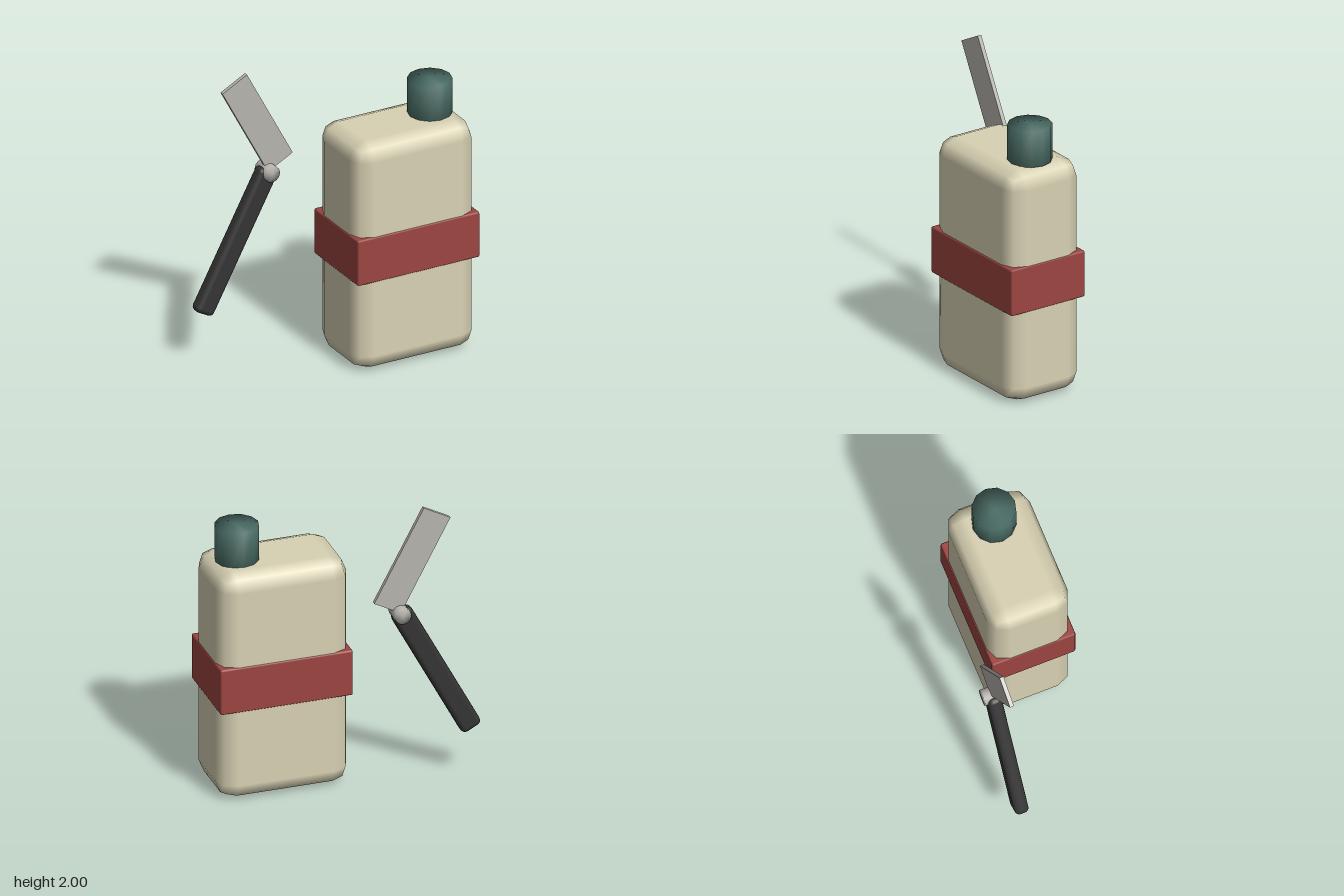
import * as THREE from 'three';
import { mergeVertices } from 'three/addons/utils/BufferGeometryUtils.js';
import { RoundedBoxGeometry } from 'three/addons/geometries/RoundedBoxGeometry.js';

const material = (name, color) => {
  const m = new THREE.MeshStandardMaterial({ color });
  m.name = name;
  return m;
};

// Shares normals between the side and the ends, so the shading runs over the rim.
function softCylinder(radius, height, sides) {
  const g = new THREE.CylinderGeometry(radius, radius, height, sides);
  g.deleteAttribute('normal');
  g.deleteAttribute('uv');
  const soft = mergeVertices(g, 1e-4);
  soft.computeVertexNormals();
  return soft;
}

export function createModel() {
  const model = new THREE.Group();
  const cream = material('cream', 0xd8d1b3);
  const red = material('red', 0x9c4540);
  const green = material('dark green', 0x4a6c65);
  const black = material('charcoal', 0x343434);
  const steel = material('steel', 0xb6b4ad);

  const add = (parent, name, geometry, mat, x, y, z) => {
    const mesh = new THREE.Mesh(geometry, mat);
    mesh.name = name;
    mesh.position.set(x, y, z);
    parent.add(mesh);
    return mesh;
  };

  // Bottle with a wide band and an off-centre cap
  const bottle = new THREE.Group();
  bottle.name = 'bottle';
  bottle.position.set(0.41, 0, 0.09);
  model.add(bottle);
  add(bottle, 'body', new RoundedBoxGeometry(0.9, 1.63, 0.57, 1, 0.12), cream, 0, 0.815, 0);
  add(bottle, 'band', new RoundedBoxGeometry(0.91, 0.325, 0.585, 1, 0.012), red, 0, 0.818, 0);
  add(bottle, 'cap', softCylinder(0.147, 0.25, 12), green, 0.245, 1.752, 0);

  // Folding knife, opened, standing behind the bottle
  const knife = new THREE.Group();
  knife.name = 'knife';
  knife.position.z = -0.319;
  model.add(knife);
  const tilt = 0.49;
  const handle = add(knife, 'handle', new RoundedBoxGeometry(0.147, 1.05, 0.097, 2, 0.035), black, -0.57, 0.82, 0);
  handle.rotation.z = -tilt;
  const blade = add(knife, 'blade', new THREE.BoxGeometry(0.207, 0.725, 0.028), steel, -0.407, 1.634, 0.003);
  blade.rotation.z = tilt;
  const pivot = add(knife, 'pivot', softCylinder(0.057, 0.135, 12), steel, -0.325, 1.267, 0);
  pivot.rotation.x = Math.PI / 2;

  return model;
}
